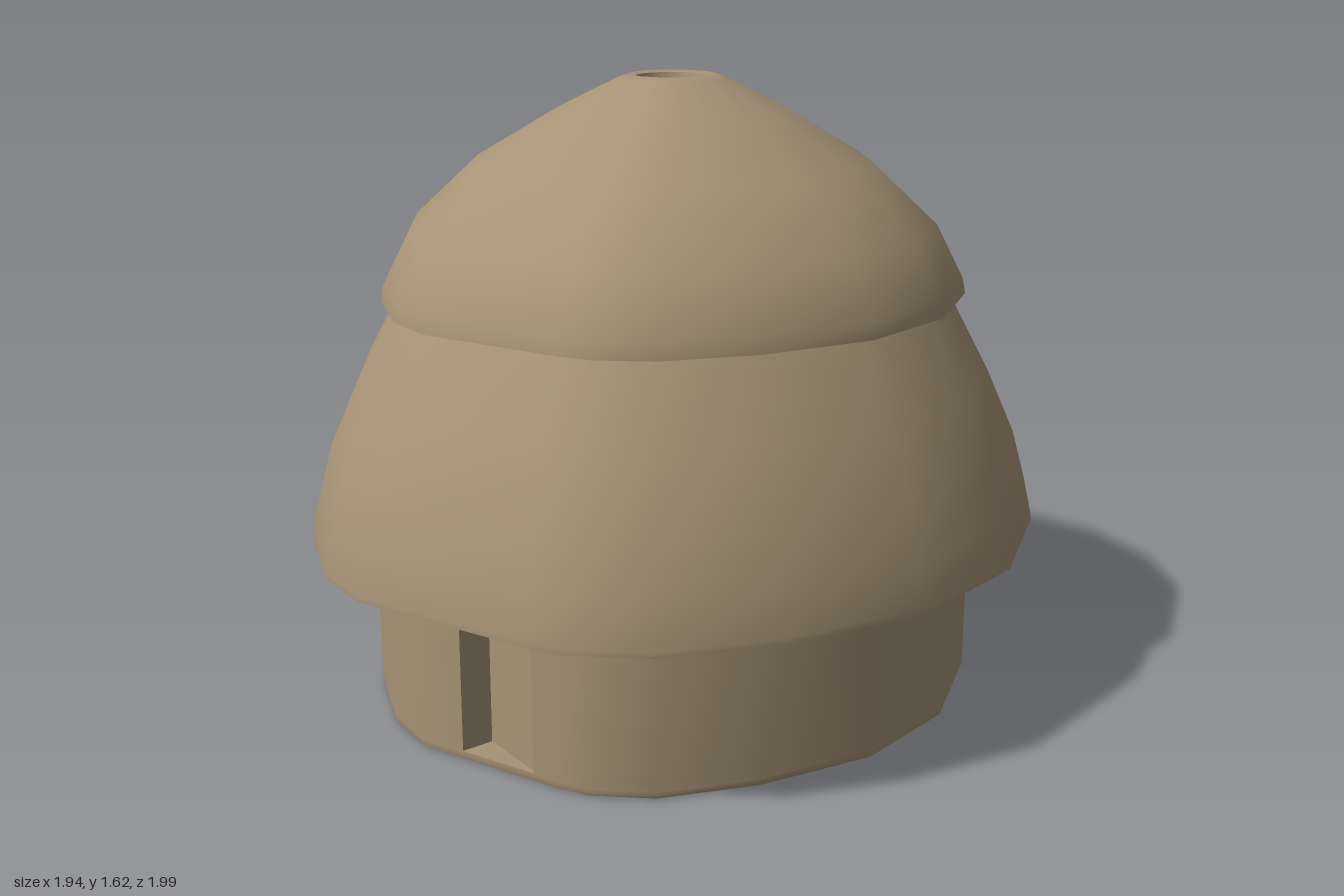
import * as THREE from 'three';
import { toCreasedNormals } from 'three/addons/utils/BufferGeometryUtils.js';

const CENTRE_Z = -0.03;
const WALL = 0.832; // wall size relative to the eaves

// Irregular plan of the hut at the eaves, [x, z] from the centre, running back, left, front, right
const side = [[0.37, -0.9], [0.69, -0.69], [0.9, -0.37], [0.97, 0], [0.9, 0.37]];
const plan = [
  [0, -0.97], ...side,
  [0.78, 0.655], [0.65, 0.797], [0.56, 0.845], [0.1, 1.02], [-0.09, 1.01], [-0.376, 0.9], [-0.69, 0.69],
  ...side.map(([x, z]) => [-x, z]).reverse(),
];

// Same plan with a shallow doorway cut into the long front-left face
const doorway = [[0.4, 0.728], [0.4, 0.72], [0.2, 0.72], [0.2, 0.804]].map(([x, z]) => [x / WALL, z / WALL]);
const cut = plan.findIndex(([x]) => x === 0.56) + 1;
const notchedPlan = [...plan.slice(0, cut), ...doorway, ...plan.slice(cut)];

// Skin a surface through scaled copies of an outline; each ring is [scale, y]
function loft(outline, rings) {
  const n = outline.length;
  const pos = [];
  const point = (i, j) => {
    const [s, y] = rings[i];
    const [x, z] = outline[j % n];
    return [x * s, y, z * s + CENTRE_Z];
  };
  for (let i = 0; i < rings.length - 1; i++) {
    for (let j = 0; j < n; j++) {
      const a = point(i, j), b = point(i, j + 1), c = point(i + 1, j), d = point(i + 1, j + 1);
      if (rings[i][0] > 0) pos.push(...a, ...c, ...b);
      if (rings[i + 1][0] > 0) pos.push(...b, ...c, ...d);
    }
  }
  const geometry = new THREE.BufferGeometry();
  geometry.setAttribute('position', new THREE.Float32BufferAttribute(pos, 3));
  return toCreasedNormals(geometry, THREE.MathUtils.degToRad(36));
}

export function createModel() {
  const group = new THREE.Group();
  group.name = 'roundHut';
  const clay = new THREE.MeshStandardMaterial({ color: 0xa79376 });
  clay.name = 'tan clay';

  const add = (name, outline, rings) => {
    const mesh = new THREE.Mesh(loft(outline, rings), clay);
    mesh.name = name;
    group.add(mesh);
  };

  // Wall: sill, doorway course and lintel
  add('wallSill', plan, [[0, 0], [WALL - 0.012, 0], [WALL - 0.003, 0.004], [WALL, 0.014], [WALL, 0.025], [0, 0.025]]);
  add('wallWithDoorway', notchedPlan, [[WALL, 0.025], [WALL, 0.42]]);
  add('wallLintel', plan, [[0, 0.42], [WALL, 0.42], [WALL, 0.45]]);

  // Lower roof tier with a thin eave
  add('lowerRoof', plan, [
    [0, 0.435], [0.985, 0.435], [1, 0.442], [1, 0.455], [0.975, 0.56], [0.938, 0.69],
    [0.86, 0.86], [0.75, 1.06], [0, 1.06],
  ]);

  // Upper roof tier: hollow shell with a smoke hole
  add('upperRoof', plan, [
    [0.735, 1.06], [0.792, 1.06], [0.785, 1.1], [0.711, 1.24], [0.535, 1.4], [0.31, 1.53],
    [0.145, 1.61], [0.115, 1.62], [0.097, 1.615], [0.093, 1.6],
    [0.3, 1.48], [0.5, 1.36], [0.66, 1.22], [0.735, 1.06],
  ]);

  return group;
}
